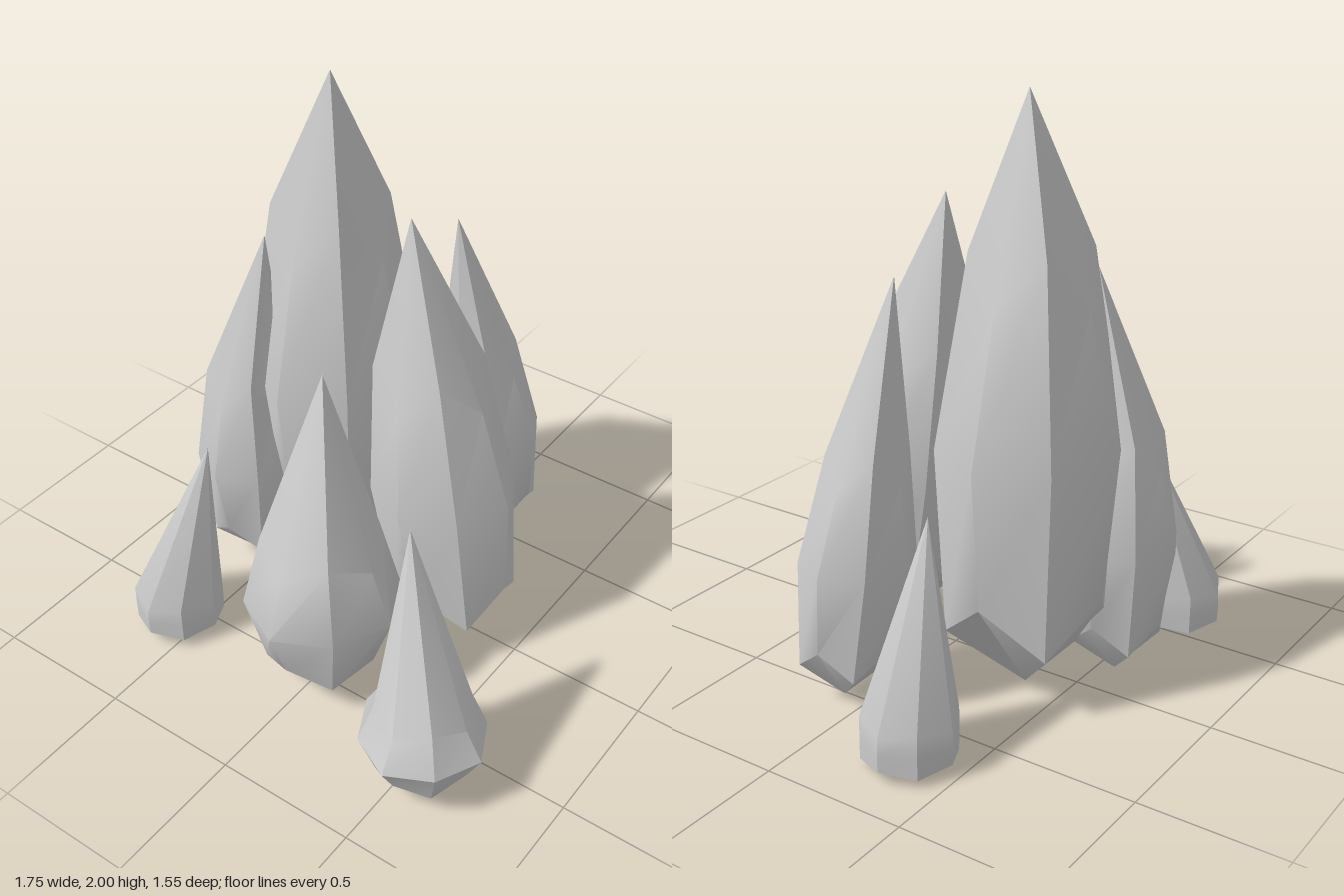
import * as THREE from 'three';
import { mergeVertices, toCreasedNormals } from 'three/addons/utils/BufferGeometryUtils.js';

// Eight-sided spike: three soft rings, a low point below and a drawn-out tip.
// pos [x, z], r radius, mid height of widest ring, h distance down to the foot,
// tip [x, y, z], top/foot ring scales, lean = sideways shift per h of height.
function spike({ pos, r, mid, h, tip, top = 1, foot = 1, lean = [0, 0] }) {
  const verts = [], index = [];
  const add = (t, rad, a) => verts.push(
    pos[0] + lean[0] * t + Math.cos(a) * rad * r,
    mid + t * h,
    pos[1] + lean[1] * t + Math.sin(a) * rad * r);

  // rings: [level and radius on the axes, level and radius on the diagonals]
  const rings = [
    [-0.556, 0.741 * foot, -0.75, 0.707 * foot],
    [0, 1, 0, 0.943],
    [0.556, 0.741 * top, 0.75, 0.707 * top],
  ];
  for (const [ta, ra, td, rd] of rings)
    for (let j = 0; j < 8; j++)
      j % 2 ? add(td, rd, j * Math.PI / 4) : add(ta, ra, j * Math.PI / 4);
  add(-1, 0, 0);
  verts.push(...tip);

  for (let j = 0; j < 8; j++) {
    const k = (j + 1) % 8;
    for (let i = 0; i < 2; i++) {
      const a = i * 8 + j, b = i * 8 + k;
      index.push(a, a + 8, b, b, a + 8, b + 8);
    }
    index.push(24, j, k);            // foot
    index.push(16 + j, 25, 16 + k);  // tip
  }
  const geo = new THREE.BufferGeometry();
  geo.setAttribute('position', new THREE.Float32BufferAttribute(verts, 3));
  geo.setIndex(index);
  return toCreasedNormals(mergeVertices(geo), 0.6);
}

export function createModel() {
  const group = new THREE.Group();
  const material = new THREE.MeshStandardMaterial({ color: 0xcccccc });
  const spikes = {
    tallSpike: { pos: [0.105, -0.36], r: 0.328, mid: 0.87, h: 0.86, tip: [0.07, 2, -0.32], top: 0.87, foot: 1.18 },
    frontSpike: { pos: [-0.005, 0.18], r: 0.265, mid: 0.64, h: 0.63, tip: [0, 1.625, 0.04], foot: 1.15, lean: [0.01, -0.09] },
    rightSpike: { pos: [-0.47, 0.01], r: 0.285, mid: 0.38, h: 0.36, tip: [-0.38, 1.22, -0.03] },
    backSpike: { pos: [-0.13, -0.57], r: 0.21, mid: 0.51, h: 0.49, tip: [-0.1, 1.43, -0.48], top: 0.95, foot: 1.05 },
    leftSpike: { pos: [0.495, 0.04], r: 0.205, mid: 0.51, h: 0.49, tip: [0.36, 1.43, -0.02], top: 0.93, foot: 1.1, lean: [-0.04, -0.035] },
    smallFrontSpike: { pos: [-0.65, 0.55], r: 0.225, mid: 0.21, h: 0.19, tip: [-0.54, 0.925, 0.42] },
    smallBackSpike: { pos: [-0.57, -0.575], r: 0.165, mid: 0.105, h: 0.09, tip: [-0.46, 0.77, -0.475], top: 1.33, foot: 1.33 },
    smallLeftSpike: { pos: [0.705, -0.32], r: 0.165, mid: 0.1, h: 0.1, tip: [0.555, 0.76, -0.285], top: 1.33, foot: 1.33 },
  };
  for (const [name, spec] of Object.entries(spikes)) {
    const mesh = new THREE.Mesh(spike(spec), material);
    mesh.name = name;
    group.add(mesh);
  }
  return group;
}
